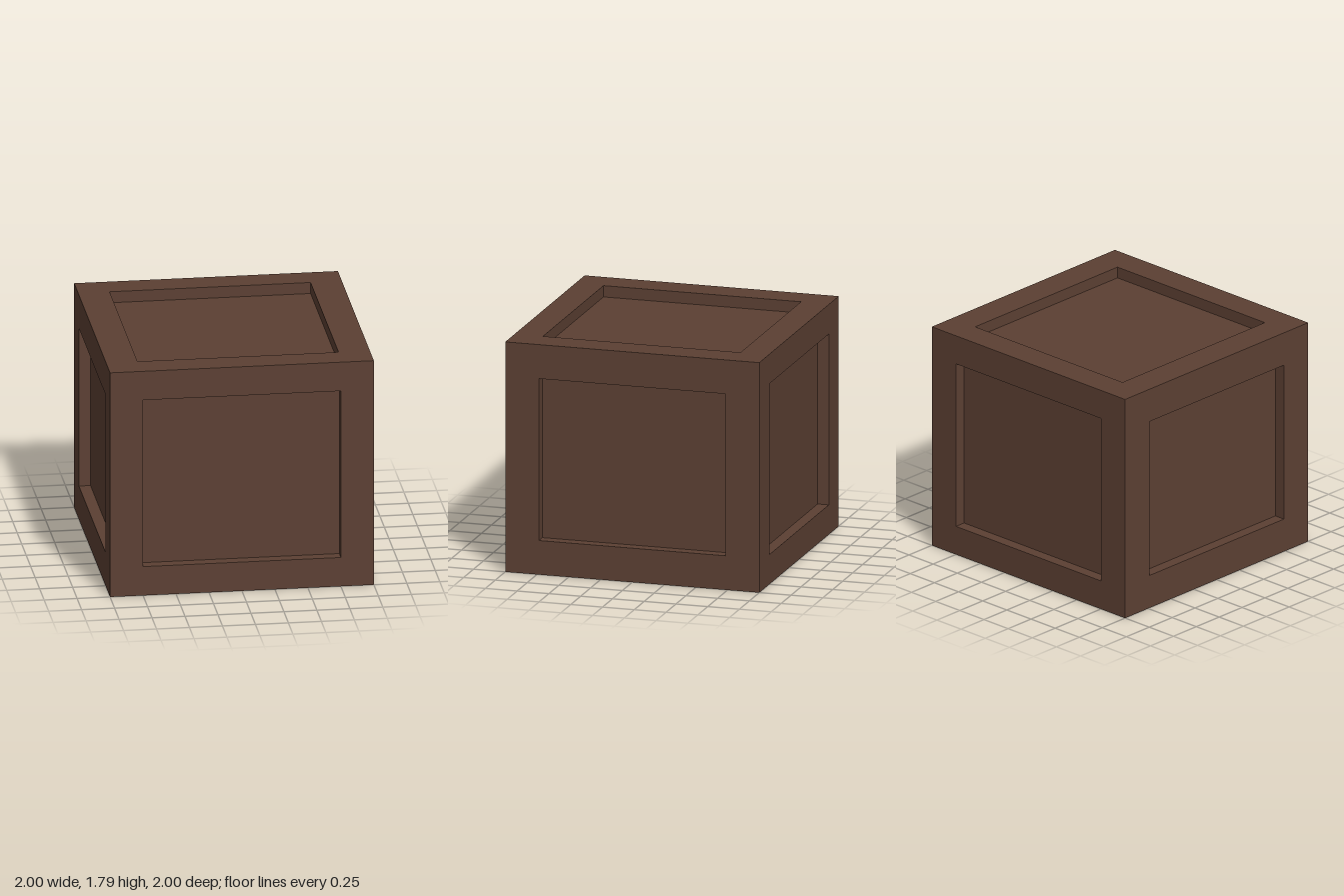
import * as THREE from 'three';

const WIDTH = 2, HEIGHT = 1.79, DEPTH = 2, RECESS = 0.088;

// Rectangle corners, counter-clockwise seen from +z
const rect = (w, h, z) => [[-w, -h, z], [w, -h, z], [w, h, z], [-w, h, z]].map(([x, y, d]) => ({ x: x / 2, y: y / 2, z: d }));

// Flat band of four quads joining two rectangles
function band(outer, inner) {
  const pos = [];
  for (let i = 0; i < 4; i++) {
    const j = (i + 1) % 4;
    for (const p of [outer[i], outer[j], inner[j], outer[i], inner[j], inner[i]]) pos.push(p.x, p.y, p.z);
  }
  const geo = new THREE.BufferGeometry();
  geo.setAttribute('position', new THREE.Float32BufferAttribute(pos, 3));
  geo.computeVertexNormals();
  return geo;
}

export function createModel() {
  const group = new THREE.Group();
  group.name = 'crate';
  const wood = new THREE.MeshStandardMaterial({ color: 0x5c4033 });
  wood.name = 'dark brown wood';

  // One side of the crate: border frame, recess walls and sunken panel
  function addSide(name, w, h, dist, panelW, panelH, rx, ry) {
    const side = new THREE.Group();
    side.name = name;
    const rim = rect(panelW, panelH, dist);
    const sunk = rect(panelW, panelH, dist - RECESS);
    const panel = new THREE.PlaneGeometry(panelW, panelH).translate(0, 0, dist - RECESS);
    const parts = { Frame: band(rect(w, h, dist), rim), RecessWalls: band(rim, sunk), Panel: panel };
    for (const [part, geo] of Object.entries(parts)) {
      const mesh = new THREE.Mesh(geo, wood);
      mesh.name = name + part;
      side.add(mesh);
    }
    side.rotation.set(rx, ry, 0);
    side.position.y = HEIGHT / 2;
    group.add(side);
  }

  // Opposite sides match
  const q = Math.PI / 2;
  addSide('front', WIDTH, HEIGHT, DEPTH / 2, 1.5, 1.33, 0, 0);
  addSide('back', WIDTH, HEIGHT, DEPTH / 2, 1.5, 1.33, 0, 2 * q);
  addSide('left', DEPTH, HEIGHT, WIDTH / 2, 1.47, 1.26, 0, q);
  addSide('right', DEPTH, HEIGHT, WIDTH / 2, 1.47, 1.26, 0, -q);
  addSide('top', WIDTH, DEPTH, HEIGHT / 2, 1.525, 1.555, -q, 0);
  addSide('bottom', WIDTH, DEPTH, HEIGHT / 2, 1.525, 1.555, q, 0);

  return group;
}
